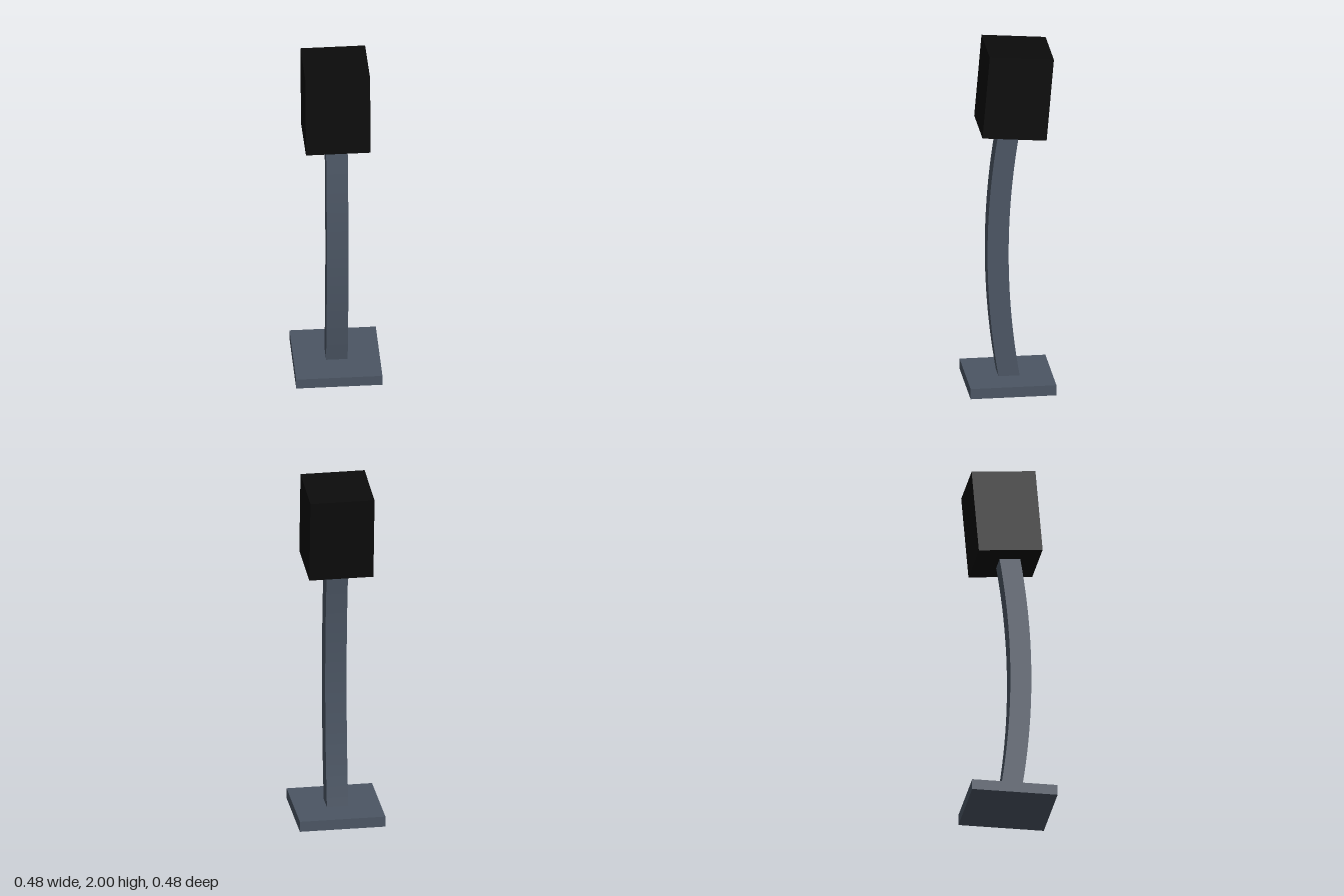
import * as THREE from 'three';

export function createModel() {
  const model = new THREE.Group();
  const slate = new THREE.MeshStandardMaterial({ color: 0x4b5563 });
  slate.name = 'slate grey';
  const black = new THREE.MeshStandardMaterial({ color: 0x0b0b0b });
  black.name = 'black';

  const add = (name, geometry, material, y, z = 0) => {
    const mesh = new THREE.Mesh(geometry, material);
    mesh.name = name;
    mesh.position.set(0, y, z);
    model.add(mesh);
    return mesh;
  };

  // Square foot plate
  add('base', new THREE.BoxGeometry(0.48, 0.06, 0.48), slate, 0.03);

  // Square post bowed towards the front: side profile extruded across x
  const half = 0.059, bottom = 0.05, top = 1.515, middle = (bottom + top) / 2, bow = 0.126;
  const profile = new THREE.Shape();
  profile.moveTo(-half, bottom);
  profile.quadraticCurveTo(bow - half, middle, -half, top);
  profile.lineTo(half, top);
  profile.quadraticCurveTo(bow + half, middle, half, bottom);
  profile.closePath();
  const postGeometry = new THREE.ExtrudeGeometry(profile, { depth: 0.12, bevelEnabled: false, curveSegments: 24 });
  postGeometry.translate(0, 0, -0.06).rotateY(-Math.PI / 2);
  add('post', postGeometry, slate, 0);

  // Head block leaning back
  const head = add('head', new THREE.BoxGeometry(0.36, 0.48, 0.36), black, 1.746, -0.034);
  head.rotation.x = -0.085;

  return model;
}
